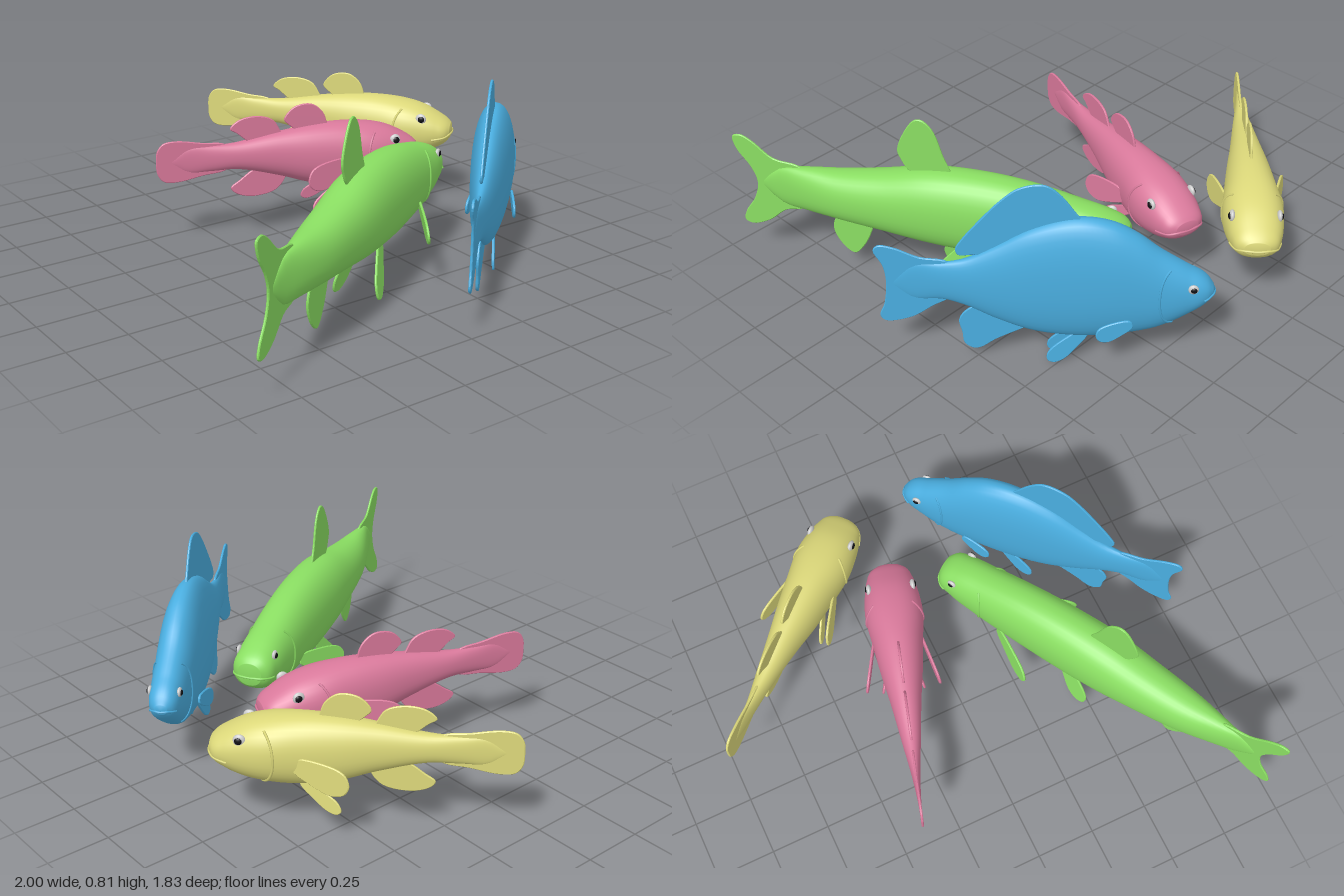
import * as THREE from 'three';

// Each fish is built along local +x (nose at 0), y up, z sideways.
// body rows: distance from nose, top, bottom, half width
const slender = {
  body: [[0, .365, .305, .05], [.015, .38, .285, .075], [.06, .41, .255, .098], [.13, .445, .225, .114], [.22, .468, .208, .122],
    [.35, .48, .202, .106], [.48, .475, .222, .088], [.62, .458, .268, .064], [.8, .43, .313, .038], [.92, .425, .315, .02],
    [1.02, .42, .32, .009], [1.08, .38, .36, .005]],
  eye: [.125, .40, .024], gill: [.25, .06], mouth: [.075, -.25],
  fins: {
    frontDorsalFin: [[.40, .44], [.405, .49], [.425, .535], [.475, .57], [.55, .56], [.592, .51], [.575, .488], [.52, .45]],
    rearDorsalFin: [[.60, .43], [.615, .475], [.645, .517], [.715, .537], [.79, .525], [.828, .49], [.80, .47], [.73, .42]],
    analFin: [[.58, .30], [.59, .25], [.635, .2], [.74, .183], [.81, .205], [.828, .23], [.79, .26], [.71, .31]],
    tailFin: [[.84, .42], [.95, .442], [1.06, .46], [1.115, .452], [1.14, .42], [1.145, .37], [1.14, .32], [1.115, .288],
      [1.06, .28], [.95, .298], [.84, .32]],
  },
  paired: { pectoralFin: [[.32, .32, .098], [.53, .27, .155], .12], pelvicFin: [[.34, .22, .045], [.49, .122, .09], .06] },
};

const carp = {
  body: [[0, .405, .31, .05], [.02, .425, .292, .075], [.08, .455, .262, .091], [.2, .49, .225, .1], [.4, .537, .205, .109],
    [.6, .557, .203, .115], [.8, .55, .218, .115], [1, .51, .245, .101], [1.18, .485, .265, .081], [1.32, .478, .277, .05],
    [1.43, .46, .295, .02], [1.5, .40, .36, .006]],
  eye: [.085, .415, .02], gill: [.24, .05], mouth: [.05, -.2],
  fins: {
    dorsalFin: [[.71, .53], [.735, .62], [.775, .74], [.815, .777], [.845, .772], [.895, .70], [.92, .625], [.91, .59], [.87, .53]],
    analFin: [[1.04, .29], [1.06, .2], [1.1, .12], [1.14, .08], [1.18, .105], [1.22, .18], [1.215, .235], [1.17, .29]],
    tailFin: [[1.33, .472], [1.45, .505], [1.53, .575], [1.575, .6], [1.61, .59], [1.6, .53], [1.55, .45], [1.53, .38],
      [1.55, .30], [1.6, .22], [1.61, .175], [1.58, .16], [1.5, .19], [1.42, .255], [1.33, .283]],
  },
  paired: { pectoralFin: [[.33, .28, .09], [.54, .225, .207], .1], pelvicFin: [[.63, .235, .04], [.77, .05, .092], .1] },
};

const deepFish = {
  body: [[0, .365, .325, .025], [.02, .395, .298, .046], [.1, .452, .232, .066], [.2, .522, .172, .076], [.28, .59, .147, .081],
    [.37, .643, .13, .084], [.5, .664, .12, .08], [.67, .615, .142, .066], [.81, .53, .2, .048], [.91, .475, .255, .034],
    [1, .455, .285, .022], [1.12, .44, .29, .009], [1.18, .38, .34, .005]],
  eye: [.078, .382, .02], gill: [.2, .06], mouth: [.035, -.3],
  fins: {
    dorsalFin: [[.48, .63], [.515, .70], [.565, .77], [.605, .803], [.645, .81], [.715, .79], [.78, .735], [.85, .655], [.92, .565],
      [.945, .52], [.935, .493], [.88, .495], [.82, .49], [.65, .58]],
    analFin: [[.64, .18], [.72, .135], [.81, .085], [.865, .045], [.895, .04], [.928, .065], [.935, .12], [.945, .18], [.92, .225],
      [.86, .26], [.74, .23]],
    tailFin: [[.97, .455], [1.08, .48], [1.17, .522], [1.225, .532], [1.245, .51], [1.215, .44], [1.207, .37], [1.22, .26],
      [1.24, .2], [1.22, .175], [1.12, .195], [1.04, .25], [.97, .3]],
  },
  paired: { pectoralFin: [[.30, .232, .075], [.43, .185, .1], .08], pelvicFin: [[.47, .145, .02], [.61, .01, .036], .075] },
};

const paint = (color) => new THREE.MeshStandardMaterial({ color, roughness: 0.7 });

function addMesh(group, name, geometry, material) {
  const mesh = new THREE.Mesh(geometry, material);
  mesh.name = name;
  group.add(mesh);
  return mesh;
}

// Point on the body skin at distance s; angle 0 is the side, 90 degrees the back
function makeSkin(rows) {
  const spline = new THREE.CubicInterpolant(rows.map((r) => r[0]), rows.flatMap((r) => r.slice(1)), 3);
  const soft = (v) => Math.sign(v) * Math.abs(v) ** 0.9;
  return (s, a) => {
    const [top, bottom, w] = spline.evaluate(s);
    return new THREE.Vector3(s, (top + bottom) / 2 + (top - bottom) / 2 * soft(Math.sin(a)), w * soft(Math.cos(a)));
  };
}

// Rings of skin points joined into a closed smooth body
function bodyGeometry(skin, length, rings = 64, sides = 36) {
  const pos = [], index = [];
  for (let i = 0; i <= rings; i++) {
    const s = length * (i / rings) ** 1.6;
    for (let j = 0; j < sides; j++) pos.push(...skin(s, j / sides * Math.PI * 2).toArray());
  }
  for (let i = 0; i < rings; i++) {
    for (let j = 0; j < sides; j++) {
      const a = i * sides + j, b = i * sides + (j + 1) % sides;
      index.push(a, a + sides, b, b, a + sides, b + sides);
    }
  }
  // nose and tail caps
  for (const [ring, flip] of [[0, false], [rings, true]]) {
    const s = length * ring / rings, centre = pos.length / 3;
    const mid = skin(s, 0);
    pos.push(mid.x + (flip ? 0 : -0.008), mid.y, 0);
    for (let j = 0; j < sides; j++) {
      const a = ring * sides + j, b = ring * sides + (j + 1) % sides;
      index.push(centre, ...(flip ? [b, a] : [a, b]));
    }
  }
  const g = new THREE.BufferGeometry();
  g.setAttribute('position', new THREE.Float32BufferAttribute(pos, 3));
  g.setIndex(index);
  g.computeVertexNormals();
  return g;
}

// Thin fin blade from a smooth closed outline
function finGeometry(outline) {
  const curve = new THREE.CatmullRomCurve3(outline.map(([x, y]) => new THREE.Vector3(x, y, 0)), true);
  const shape = new THREE.Shape(curve.getPoints(outline.length * 5).slice(0, -1).map((p) => new THREE.Vector2(p.x, p.y)));
  const g = new THREE.ExtrudeGeometry(shape, { depth: 0.004, bevelThickness: 0.003, bevelSize: 0.003, bevelOffset: -0.003, bevelSegments: 1 });
  return g.translate(0, 0, -0.002);
}

// Paddle-shaped fin running from base to tip
function paddle(base, tip, width) {
  const dir = tip.clone().sub(base), len = dir.length();
  const outline = [[0, -.18], [.4, -.42], [.75, -.48], [.95, -.28], [1, .05], [.86, .4], [.4, .42], [0, .18]];
  const x = dir.normalize();
  const y = new THREE.Vector3(0, 0, 1).cross(x).normalize();
  const z = x.clone().cross(y);
  const m = new THREE.Matrix4().makeBasis(x, y, z).setPosition(base);
  return finGeometry(outline.map(([u, v]) => [u * len, v * width])).applyMatrix4(m);
}

function makeFish(name, spec, color, nose, tail) {
  const fish = new THREE.Group();
  fish.name = name;
  const material = paint(color), white = paint(0xe8e8e8), black = paint(0x101014);
  const skin = makeSkin(spec.body);
  addMesh(fish, 'body', bodyGeometry(skin, spec.body.at(-1)[0]), material);
  for (const [part, outline] of Object.entries(spec.fins)) addMesh(fish, part, finGeometry(outline), material);

  // mouth line wrapping the snout
  const [reach, mouthAngle] = spec.mouth;
  const lip = [1, .6, .25, 0].map((k) => skin(reach * k, mouthAngle));
  const otherLip = lip.map((p) => p.clone().setZ(-p.z)).reverse();
  const front = lip[3].clone().set(-0.006, lip[3].y, 0);
  addMesh(fish, 'mouth', new THREE.TubeGeometry(new THREE.CatmullRomCurve3([...lip, front, ...otherLip]), 40, 0.005, 6), material);

  for (const side of [1, -1]) {
    const label = side > 0 ? 'left' : 'right';
    const mirror = (p) => p.clone().setZ(p.z * side);

    // paired fins
    for (const [part, [base, tip, width]] of Object.entries(spec.paired)) {
      const g = paddle(mirror(new THREE.Vector3(...base)), mirror(new THREE.Vector3(...tip)), width);
      addMesh(fish, label + ' ' + part, g, material);
    }

    // gill cover edge
    const [gillS, bow] = spec.gill, arc = [];
    for (let a = -1.1; a <= 0.91; a += 0.2) arc.push(mirror(skin(gillS + bow * (Math.cos(a * 1.3) - 1), a)));
    addMesh(fish, label + ' gillCover', new THREE.TubeGeometry(new THREE.CatmullRomCurve3(arc), 24, 0.005, 6), material);

    // eye and pupil
    const [eyeS, eyeY, r] = spec.eye;
    const top = skin(eyeS, Math.PI / 2).y, mid = skin(eyeS, 0).y;
    const spot = mirror(skin(eyeS, Math.asin(Math.min(0.95, (eyeY - mid) / (top - mid)))));
    const eye = addMesh(fish, label + ' eye', new THREE.SphereGeometry(r, 20, 14), white);
    eye.position.copy(spot);
    eye.scale.z = 0.5;
    const pupil = addMesh(fish, label + ' pupil', new THREE.SphereGeometry(r * 0.62, 16, 12), black);
    pupil.position.copy(spot).add(new THREE.Vector3(-r * 0.1, 0, side * r * 0.3));
    pupil.scale.z = 0.6;
  }

  // aim the fish from nose to tail
  fish.position.set(nose[0], 0, nose[1]);
  fish.rotation.y = Math.atan2(nose[1] - tail[1], tail[0] - nose[0]);
  return fish;
}

export function createModel() {
  const model = new THREE.Group();
  model.name = 'fishGroup';
  model.add(
    makeFish('yellowFish', slender, 0xdcd87a, [-.15, -.87], [-.99, -.11]),
    makeFish('pinkFish', slender, 0xd9799b, [-.07, -.59], [-.41, .49]),
    makeFish('greenFish', carp, 0x8ade62, [.15, -.48], [.97, .9]),
    makeFish('blueFish', deepFish, 0x4aaee0, [.155, -.895], [.98, 0]),
  );
  return model;
}
